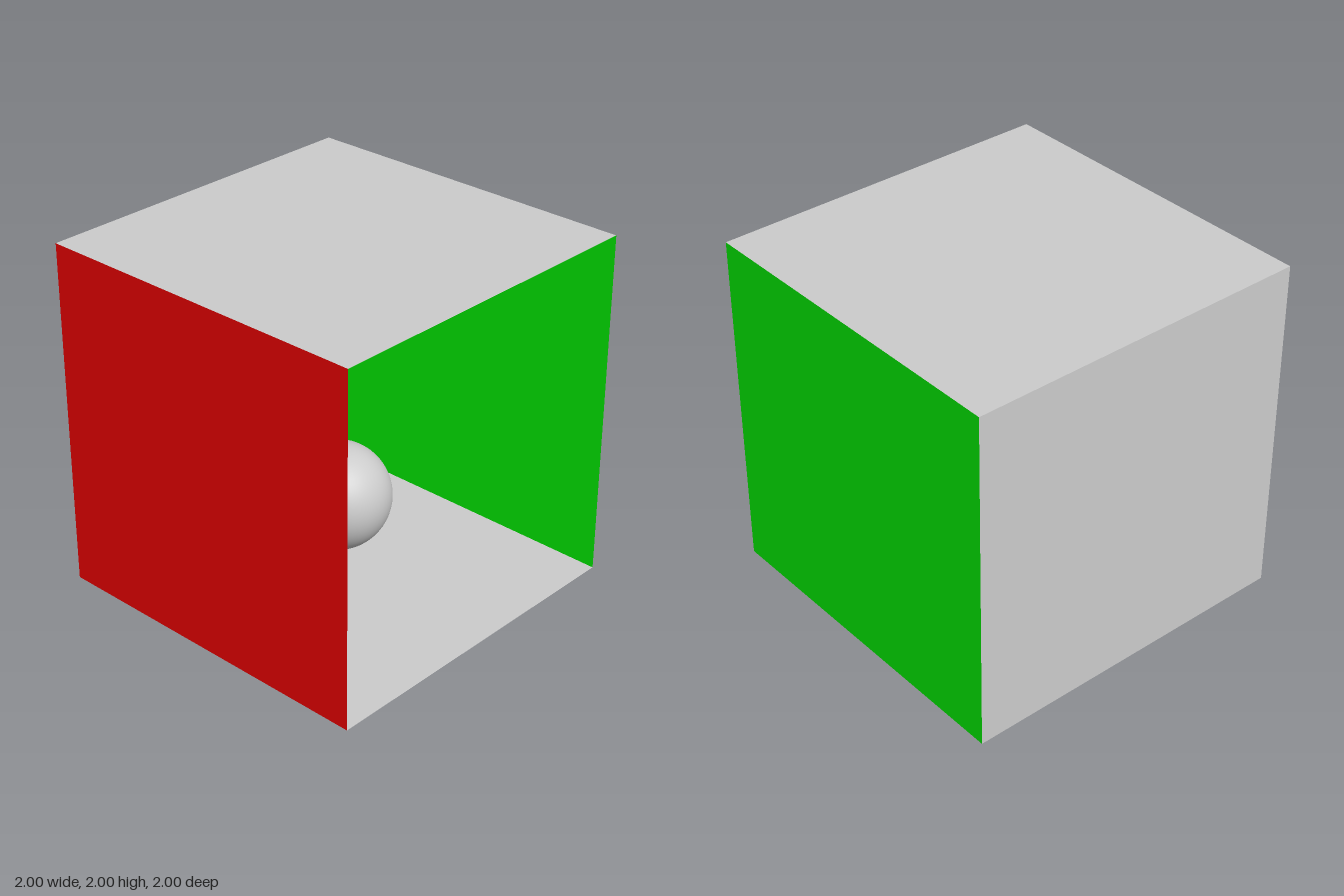
import * as THREE from 'three';

const SIZE = 2;
const HALF = SIZE / 2;

function material(color) {
  return new THREE.MeshStandardMaterial({ color, side: THREE.DoubleSide });
}

export function createModel() {
  const model = new THREE.Group();
  model.name = 'openRoom';
  const grey = material(0xcccccc);
  const red = material(0xff0000);
  const green = material(0x00ff00);

  // Thin wall panels; the +x side stays open
  const panelGeometry = new THREE.PlaneGeometry(SIZE, SIZE);
  const addPanel = (name, mat, position, rotation) => {
    const panel = new THREE.Mesh(panelGeometry, mat);
    panel.name = name;
    panel.position.set(...position);
    panel.rotation.set(...rotation);
    model.add(panel);
  };
  addPanel('floor', grey, [0, 0, 0], [-Math.PI / 2, 0, 0]);
  addPanel('ceiling', grey, [0, SIZE, 0], [Math.PI / 2, 0, 0]);
  addPanel('sideWall', grey, [-HALF, HALF, 0], [0, Math.PI / 2, 0]);
  addPanel('frontWall', red, [0, HALF, HALF], [0, Math.PI, 0]);
  addPanel('backWall', green, [0, HALF, -HALF], [0, 0, 0]);

  // Ball floating above the floor
  const ball = new THREE.Mesh(
    new THREE.SphereGeometry(0.3, 48, 32),
    new THREE.MeshStandardMaterial({ color: 0xcccccc })
  );
  ball.name = 'ball';
  ball.position.set(0, 0.5, 0);
  model.add(ball);

  return model;
}
